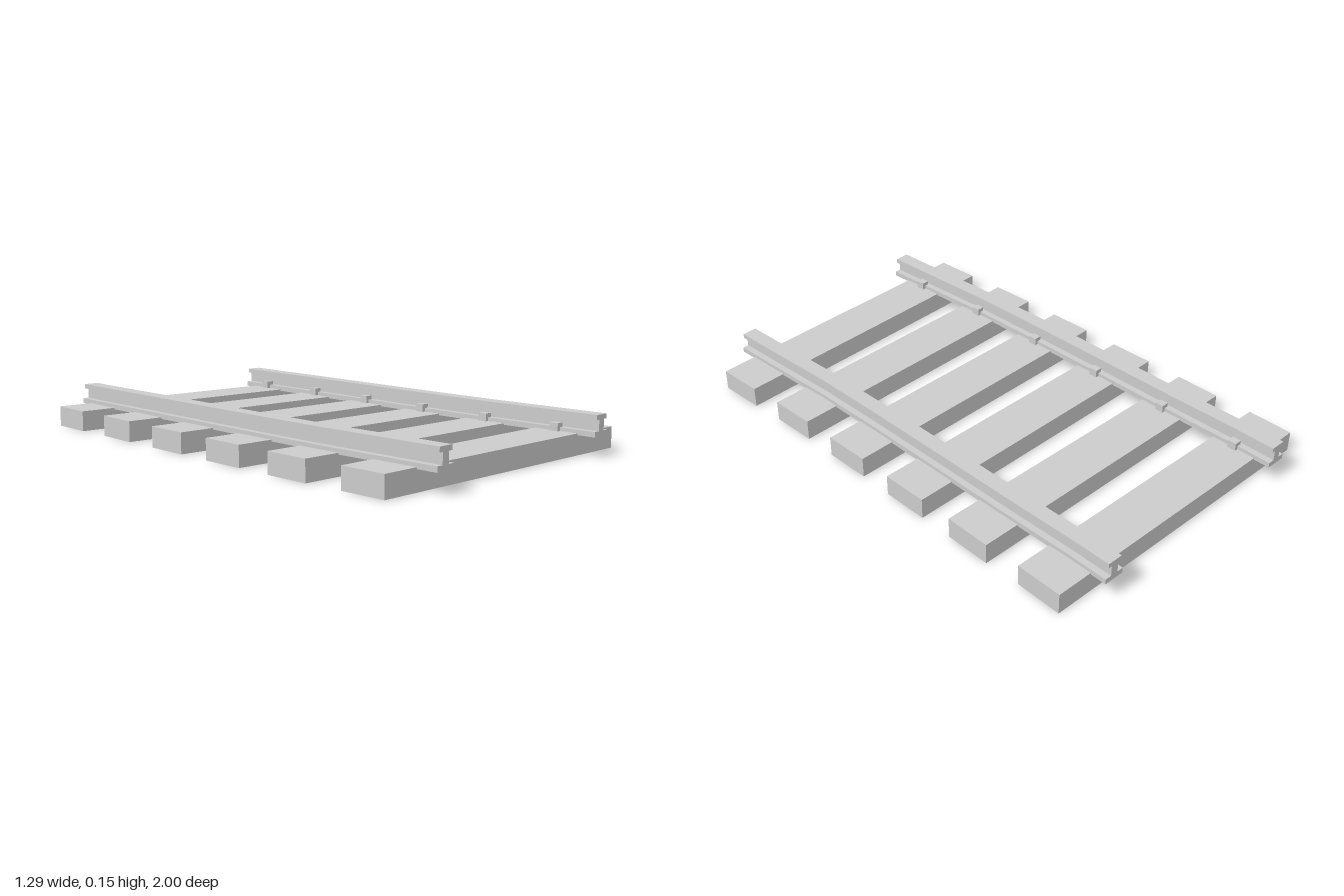
import * as THREE from 'three';

// Track centre line: x, z, heading (radians). First and last are the rail ends.
const START = [-0.032, -1, 0];
const STATIONS = [
  [-0.031, -0.845, 0.002],
  [-0.022, -0.515, 0.011],
  [-0.016, -0.187, 0.026],
  [-0.009, 0.14, 0.038],
  [0.002, 0.468, 0.05],
  [0.026, 0.795, 0.066],
];
const END = [0.037, 0.963, 0.076];
const PATH = [START, ...STATIONS, END];

const RAIL_OFFSET = 0.432;
const CLIP_OFFSET = 0.393;

const material = new THREE.MeshStandardMaterial({ color: 0xcccccc, flatShading: true });

function box(name, w, h, d, x, y, z) {
  const mesh = new THREE.Mesh(new THREE.BoxGeometry(w, h, d), material);
  mesh.name = name;
  mesh.position.set(x, y, z);
  return mesh;
}

// I-shaped section: wide foot, web, head
function railShape() {
  const half = [[0.04, 0.074], [0.04, 0.094], [0.015, 0.094], [0.015, 0.135], [0.03, 0.135], [0.03, 0.153]];
  const mirrored = half.map(([x, y]) => [-x, y]).reverse();
  return new THREE.Shape([...half, ...mirrored].map(([x, y]) => new THREE.Vector2(x, y)));
}

// Extrude one step per path point, then bend each step onto the centre line
function rail(name, side) {
  const steps = PATH.length - 1;
  const geometry = new THREE.ExtrudeGeometry(railShape(), { depth: steps, steps, bevelEnabled: false });
  const pos = geometry.attributes.position;
  for (let i = 0; i < pos.count; i++) {
    const [cx, cz, angle] = PATH[Math.round(pos.getZ(i))];
    const across = pos.getX(i) + side * RAIL_OFFSET;
    pos.setX(i, cx + across * Math.cos(angle));
    pos.setZ(i, cz - across * Math.sin(angle));
  }
  geometry.computeVertexNormals();
  const mesh = new THREE.Mesh(geometry, material);
  mesh.name = name;
  return mesh;
}

export function createModel() {
  const track = new THREE.Group();
  track.name = 'curvedTrack';

  // Sleepers, each with a clip against the inner side of both rails
  STATIONS.forEach(([x, z, angle], i) => {
    const group = new THREE.Group();
    group.name = `sleeperWithClips${i + 1}`;
    group.position.set(x, 0, z);
    group.rotation.y = angle;
    group.add(box('sleeper', 1.232, 0.08, 0.183, 0, 0.04, 0));
    for (const side of [-1, 1]) {
      group.add(box(side > 0 ? 'leftClip' : 'rightClip', 0.03, 0.034, 0.035, side * CLIP_OFFSET, 0.093, 0));
    }
    track.add(group);
  });

  // Rails
  track.add(rail('leftRail', 1), rail('rightRail', -1));
  return track;
}
